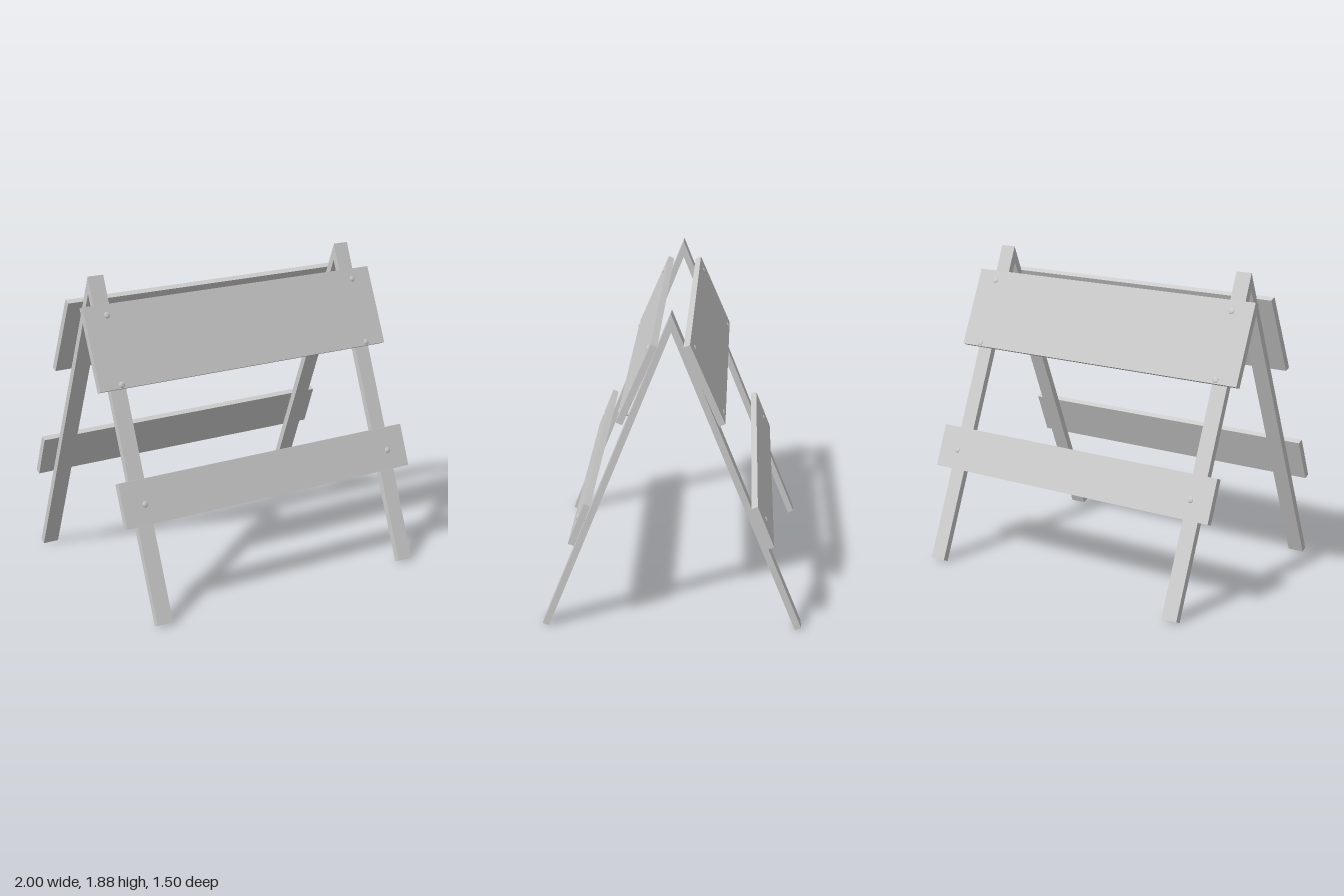
import * as THREE from 'three';

const material = new THREE.MeshStandardMaterial({ color: 0xcccccc });
const THICK = 0.038;
const LEG_W = 0.1;
const LEG_X = [-0.858, 0.865];

function addMesh(parent, geometry, name) {
  const mesh = new THREE.Mesh(geometry, material);
  mesh.name = name;
  parent.add(mesh);
  return mesh;
}

// Slanted leg, mitred at the ridge where it meets its partner
function addLeg(parent, x, side, name) {
  const profile = [[0, 1.882], [0.748, 0.015], [0.713, 0], [0, 1.78]];
  const shape = new THREE.Shape(profile.map(([z, y]) => new THREE.Vector2(z * side, y)));
  const geometry = new THREE.ExtrudeGeometry(shape, { depth: LEG_W, bevelEnabled: false });
  geometry.rotateY(-Math.PI / 2).translate(x + LEG_W / 2, 0, 0);
  addMesh(parent, geometry, name);
}

// Bolt with a low domed head and a short shank reaching the leg
function addBolt(parent, x, y, side) {
  const bolt = new THREE.Group();
  bolt.name = 'bolt';
  bolt.position.set(x, y, side * THICK / 2);
  bolt.rotation.x = side * Math.PI / 2;
  const head = new THREE.SphereGeometry(0.018, 16, 6, 0, Math.PI * 2, 0, Math.PI / 2);
  addMesh(bolt, head.scale(1, 0.35, 1), 'boltHead');
  const shank = new THREE.CylinderGeometry(0.009, 0.009, 0.06, 12);
  addMesh(bolt, shank.translate(0, -0.032, 0), 'boltShank');
  parent.add(bolt);
}

// Full-width board, tilted to lie along the legs
function addBoard(parent, side, { name, y, z, height, tilt, bolts }) {
  const board = new THREE.Group();
  board.name = name;
  board.position.set(0, y, z * side);
  board.rotation.x = -side * THREE.MathUtils.degToRad(tilt);
  addMesh(board, new THREE.BoxGeometry(2, height, THICK), name + 'Plank');
  for (const x of LEG_X) for (const t of bolts) addBolt(board, x, t, side);
  parent.add(board);
}

export function createModel() {
  const model = new THREE.Group();
  model.name = 'barricade';

  const boards = [
    { name: 'upperBoard', y: 1.506, z: 0.185, height: 0.488, tilt: 23.4, bolts: [0.18, -0.222] },
    { name: 'lowerBoard', y: 0.675, z: 0.515, height: 0.262, tilt: 21.5, bolts: [-0.013] },
  ];

  // Front and back frames mirror each other across z = 0
  for (const side of [1, -1]) {
    const frame = new THREE.Group();
    frame.name = side > 0 ? 'frontFrame' : 'backFrame';
    LEG_X.forEach((x) => addLeg(frame, x, side, x > 0 ? 'leftLeg' : 'rightLeg'));
    boards.forEach((board) => addBoard(frame, side, board));
    model.add(frame);
  }
  return model;
}
